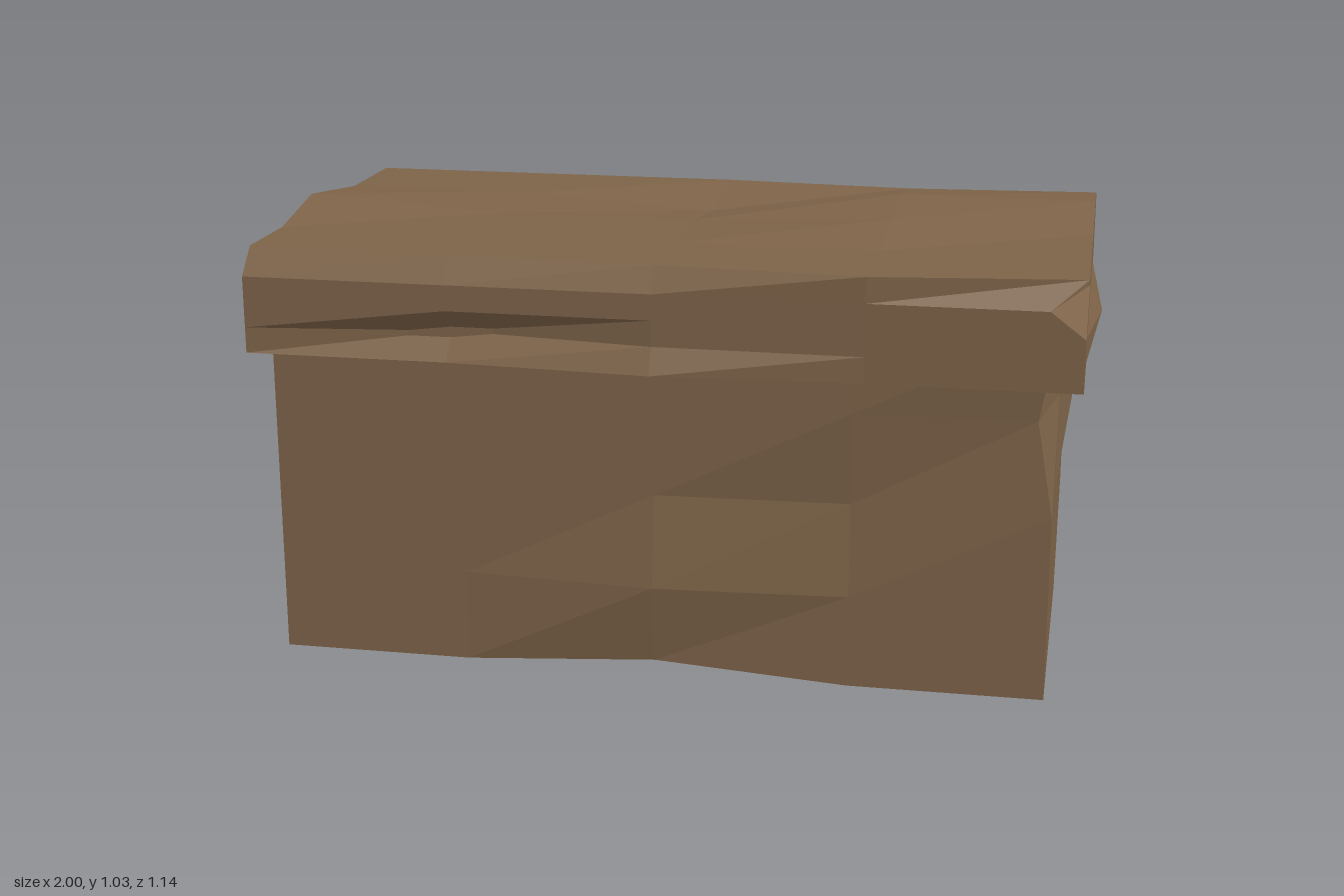
import * as THREE from 'three';

// Box on a 4x4x4 grid whose points are chipped in or out along one axis.
// Each chip [i, j, k, shift] counts i left to right, j upwards, k back to front.
function hewnBox(name, [w, h, d], [x, y, z], chips, material) {
  const geo = new THREE.BoxGeometry(w, h, d, 4, 4, 4);
  const pos = geo.attributes.position;
  const index = (v, size) => Math.round((v / size + 0.5) * 4);
  for (let n = 0; n < pos.count; n++) {
    const p = new THREE.Vector3().fromBufferAttribute(pos, n);
    const [a, b, c] = [index(p.x, w), index(p.y, h), index(p.z, d)];
    for (const axis of ['x', 'y', 'z']) {
      for (const [i, j, k, shift] of chips[axis]) {
        if (i === a && j === b && k === c) p[axis] += shift;
      }
    }
    pos.setXYZ(n, p.x, p.y, p.z);
  }
  geo.translate(x, y + h / 2, z);
  geo.computeVertexNormals();
  const mesh = new THREE.Mesh(geo, material);
  mesh.name = name;
  return mesh;
}

export function createModel() {
  const group = new THREE.Group();
  group.name = 'hewnChest';
  const wood = new THREE.MeshStandardMaterial({ color: 0x7d6348, flatShading: true });
  wood.name = 'brown wood';

  // Body, reaching a little way up inside the lid
  group.add(hewnBox('body', [1.84, 0.89, 0.985], [-0.01, 0, 0], {
    x: [[4, 3, 4, -0.04], [4, 3, 2, 0.035], [4, 0, 0, -0.03], [0, 2, 2, 0.04], [0, 2, 3, 0.04]],
    y: [[2, 0, 4, 0.03]],
    z: [[2, 1, 4, 0.03], [3, 2, 4, -0.02], [4, 3, 4, -0.02], [2, 2, 0, 0.02], [3, 1, 0, 0.02]],
  }, wood));

  // Lid
  group.add(hewnBox('lid', [1.945, 0.245, 1.08], [-0.005, 0.755, 0], {
    x: [[4, 3, 4, -0.08], [4, 1, 2, 0.03], [0, 2, 2, 0.05], [0, 4, 2, -0.02], [0, 1, 2, -0.02]],
    y: [[0, 4, 2, 0.03], [3, 4, 1, 0.03], [3, 4, 2, 0.02], [4, 4, 1, 0.03], [2, 4, 1, -0.03]],
    z: [[0, 4, 4, -0.06], [1, 4, 4, -0.04], [2, 4, 4, -0.03], [4, 4, 4, -0.06],
      [2, 0, 4, 0.03], [1, 1, 4, -0.06], [2, 3, 0, -0.035], [3, 4, 0, 0.035],
      [3, 1, 0, 0.05], [1, 1, 0, 0.03]],
  }, wood));
  return group;
}
